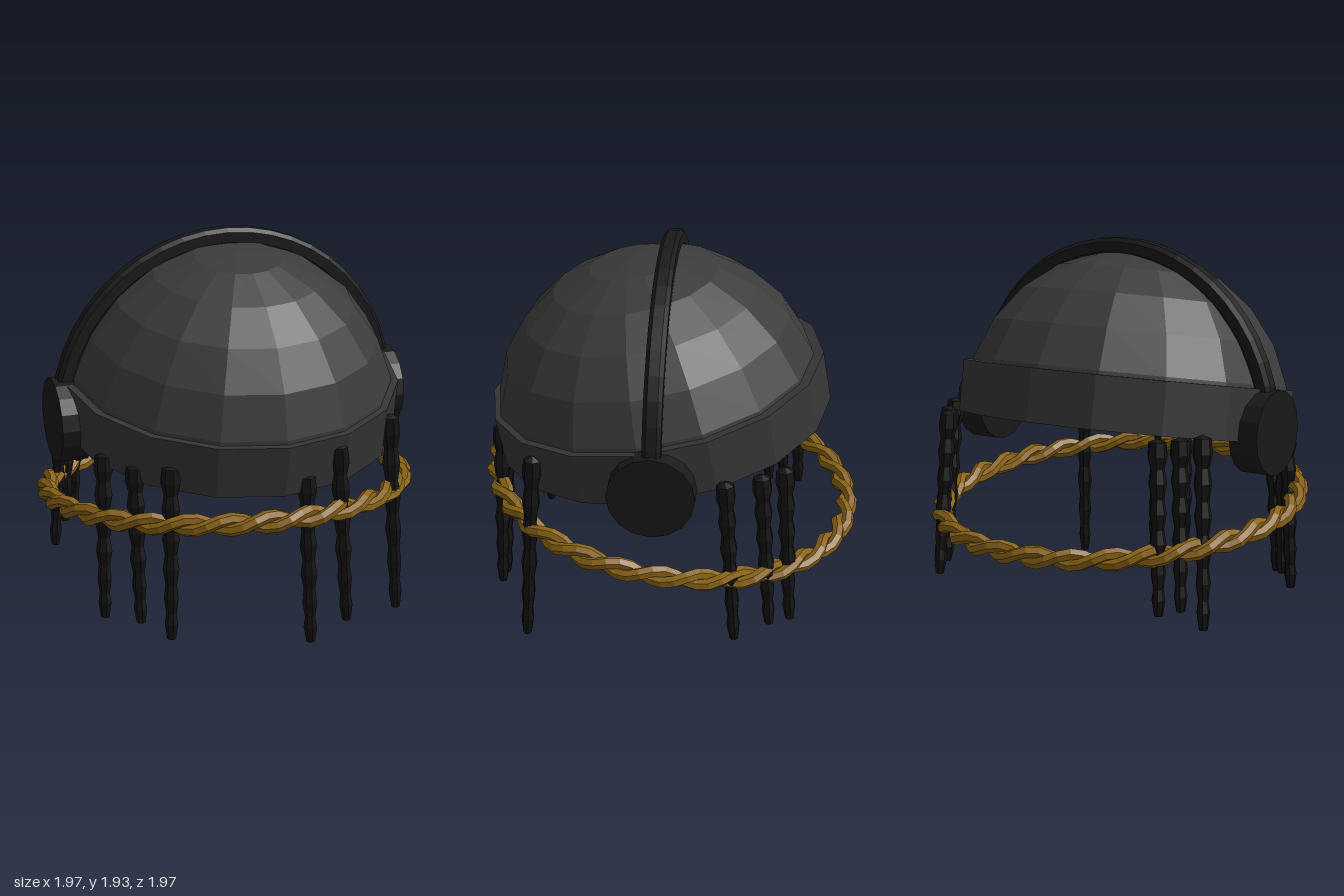
import * as THREE from 'three';

const mat = (color) => new THREE.MeshStandardMaterial({ color, flatShading: true });
const capMat = mat(0x3b3b3b), bandMat = mat(0x353535), blackMat = mat(0x191919);
const hairMat = mat(0x121212), ropeMat = mat(0x8b6416);

function add(parent, name, geometry, material) {
  const mesh = new THREE.Mesh(geometry, material);
  mesh.name = name;
  parent.add(mesh);
  return mesh;
}

// Domed cap with a wide rim, leaning towards the front
function makeCap() {
  const cap = new THREE.Group();
  cap.name = 'cap';
  cap.position.set(0, 1, 0.06);
  cap.rotation.x = 0.175;
  const dome = new THREE.SphereGeometry(0.855, 16, 6, 0, Math.PI * 2, 0, Math.PI / 2);
  add(cap, 'capDome', dome, capMat);
  const rim = new THREE.CylinderGeometry(0.87, 0.87, 0.265, 16);
  add(cap, 'capRim', rim, bandMat).position.set(0, 0.07, -0.01);
  return cap;
}

// Headband arch with a round cup over each ear
function makeHeadset() {
  const headset = new THREE.Group();
  headset.name = 'headset';
  headset.position.set(0, 1, 0.02);
  const w = 0.046, c = 0.02;
  const section = new THREE.Shape([
    [-w, -w + c], [-w + c, -w], [w - c, -w], [w, -w + c],
    [w, w - c], [w - c, w], [-w + c, w], [-w, w - c],
  ].map(([x, y]) => new THREE.Vector2(x, y)));
  const arch = new THREE.CurvePath();
  class Arch extends THREE.Curve {
    getPoint(t, target = new THREE.Vector3()) {
      const a = Math.PI * t;
      return target.set(0.878 * Math.cos(a), 0.878 * Math.sin(a), 0);
    }
  }
  add(headset, 'headband', new THREE.ExtrudeGeometry(section, { steps: 24, extrudePath: new Arch() }), blackMat);
  for (const side of [-1, 1]) {
    const cup = add(headset, side > 0 ? 'leftEarCup' : 'rightEarCup',
      new THREE.CylinderGeometry(0.215, 0.215, 0.155, 16), blackMat);
    cup.rotation.z = Math.PI / 2;
    cup.position.x = side * 0.8475;
  }
  return headset;
}

// One strand of the twisted ring
class Strand extends THREE.Curve {
  constructor(phase) {
    super();
    this.phase = phase;
  }
  getPoint(t, target = new THREE.Vector3()) {
    const a = t * Math.PI * 2, twist = a * 15 + this.phase;
    const r = 0.935 + 0.028 * Math.cos(twist);
    return target.set(r * Math.sin(a), 0.028 * Math.sin(twist), r * Math.cos(a));
  }
}

function makeRope() {
  const rope = new THREE.Group();
  rope.name = 'ropeRing';
  rope.position.y = 0.57;
  rope.rotation.x = -0.12;
  for (const phase of [0, Math.PI]) {
    add(rope, 'ropeStrand', new THREE.TubeGeometry(new Strand(phase), 105, 0.031, 6, true), ropeMat);
  }
  return rope;
}

// Knotted lock of hair running from its top point to its tip
function makeLock(top, tip) {
  const a = new THREE.Vector3(...top), b = new THREE.Vector3(...tip);
  const length = a.distanceTo(b);
  const radii = [0, 0.022, 0.034, 0.026, 0.037, 0.029, 0.042, 0.03, 0.044, 0.032, 0.046, 0.034, 0.05, 0.044, 0];
  const heights = [0, 0, 0.09, 0.15, 0.24, 0.32, 0.41, 0.49, 0.58, 0.66, 0.75, 0.83, 0.9, 0.98, 1];
  const profile = radii.map((r, i) => new THREE.Vector2(r, heights[i] * length));
  const lock = new THREE.Mesh(new THREE.LatheGeometry(profile, 7), hairMat);
  lock.name = 'hairLock';
  lock.position.copy(b);
  lock.quaternion.setFromUnitVectors(new THREE.Vector3(0, 1, 0), a.sub(b).normalize());
  return lock;
}

export function createModel() {
  const model = new THREE.Group();
  model.name = 'cappedHeadset';
  model.add(makeCap(), makeHeadset(), makeRope());

  // Four clusters of three locks: [top, tip]
  const locks = [
    [[0.12, 0.88, 0.86], [0.14, 0, 0.9]],
    [[0.29, 1.01, 0.85], [0.34, 0.08, 0.88]],
    [[0.66, 1.05, 0.63], [0.7, 0.01, 0.69]],
    [[-0.52, 0.95, 0.71], [-0.54, 0.06, 0.76]],
    [[-0.66, 0.92, 0.57], [-0.65, 0.1, 0.61]],
    [[-0.77, 0.94, 0.41], [-0.79, 0.08, 0.45]],
    [[0.83, 1.06, -0.33], [0.86, 0.17, -0.39]],
    [[0.73, 1.05, -0.5], [0.77, 0.21, -0.56]],
    [[0.65, 1.05, -0.61], [0.69, 0.19, -0.66]],
    [[-0.76, 1.05, -0.43], [-0.81, 0.1, -0.49]],
    [[-0.7, 1.05, -0.54], [-0.73, 0.2, -0.57]],
    [[-0.63, 1.05, -0.63], [-0.66, 0.19, -0.66]],
  ];
  const hair = new THREE.Group();
  hair.name = 'hair';
  for (const [top, tip] of locks) hair.add(makeLock(top, tip));
  model.add(hair);
  return model;
}
